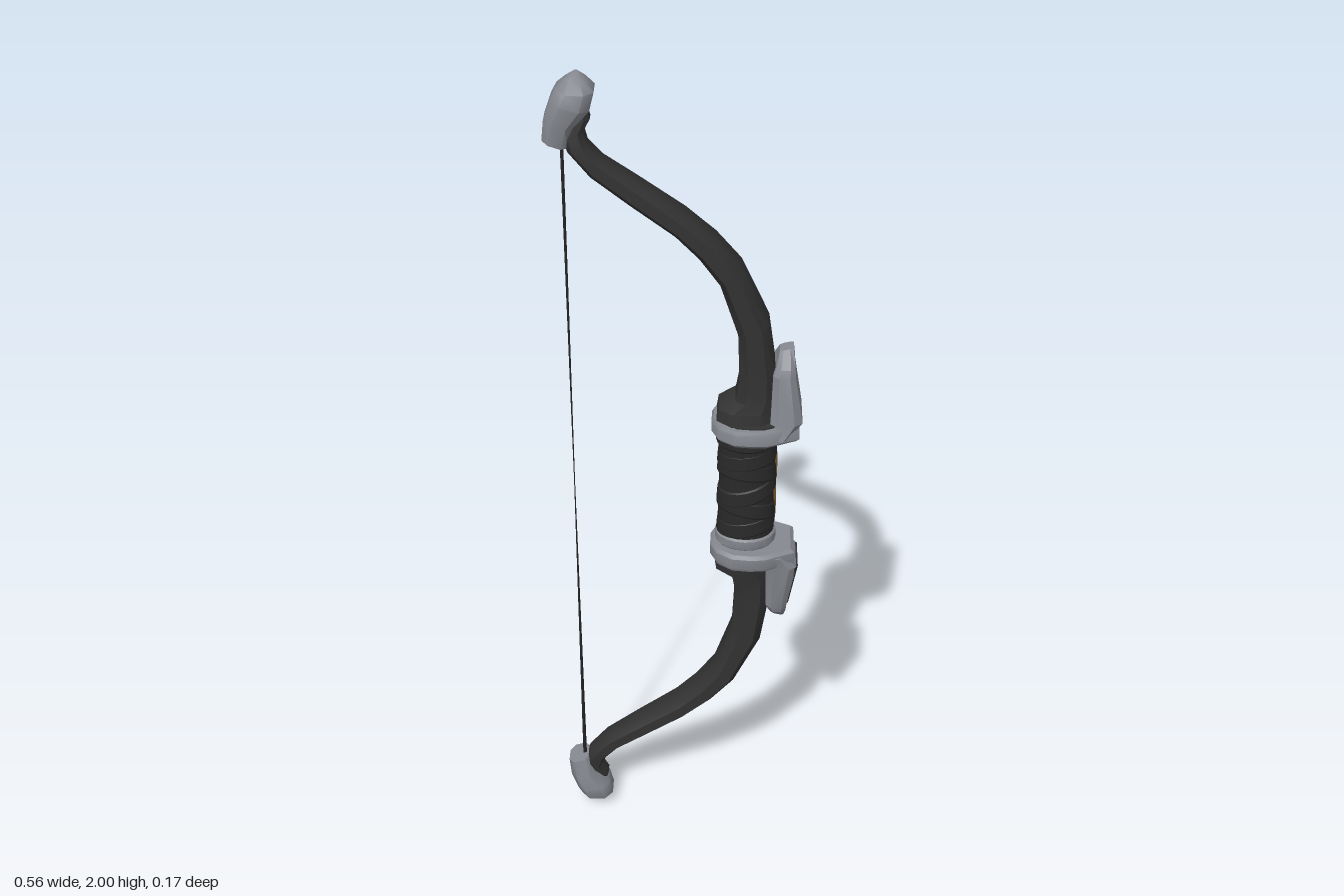
import * as THREE from 'three';
import { mergeVertices, toCreasedNormals } from 'three/addons/utils/BufferGeometryUtils.js';

const mat = (name, color, side = THREE.FrontSide) => {
  const m = new THREE.MeshStandardMaterial({ color, side });
  m.name = name;
  return m;
};

// Closed solid through a list of equal-length rings of [x, y, z]; faces always point outward.
function loft(rings, crease = 0.6) {
  const n = rings[0].length, pos = rings.flat(2), idx = [];
  for (let i = 0; i < rings.length - 1; i++)
    for (let j = 0; j < n; j++) {
      const a = i * n + j, b = i * n + (j + 1) % n;
      idx.push(a, b, b + n, a, b + n, a + n);
    }
  const caps = [rings[0], rings[rings.length - 1]];
  caps.forEach((ring, c) => {
    const centre = pos.length / 3, base = c * (rings.length - 1) * n;
    for (let k = 0; k < 3; k++) pos.push(ring.reduce((s, p) => s + p[k], 0) / n);
    for (let j = 0; j < n; j++) {
      const a = base + j, b = base + (j + 1) % n;
      if (c) idx.push(centre, a, b); else idx.push(centre, b, a);
    }
  });
  const v = (i) => new THREE.Vector3(pos[i * 3], pos[i * 3 + 1] - 1, pos[i * 3 + 2]);
  let volume = 0;
  for (let i = 0; i < idx.length; i += 3) volume += v(idx[i]).dot(v(idx[i + 1]).cross(v(idx[i + 2])));
  if (volume < 0) idx.reverse();
  const g = new THREE.BufferGeometry();
  g.setAttribute('position', new THREE.Float32BufferAttribute(pos, 3));
  g.setIndex(idx);
  return toCreasedNormals(mergeVertices(g), crease);
}

// Bevelled section from (ax, ay) to (bx, by) with half depth d
function section([ax, ay, bx, by, d], k = 0.55) {
  const shape = [[0, -k], [0.25, -1], [0.75, -1], [1, -k], [1, k], [0.75, 1], [0.25, 1], [0, k]];
  return shape.map(([t, z]) => [ax + (bx - ax) * t, ay + (by - ay) * t, z * d]);
}

const ellipse = (y, r, tilt = 0, phase = 0) => Array.from({ length: 20 }, (_, i) => {
  const a = i / 20 * Math.PI * 2;
  return [0.156 + 0.066 * r * Math.cos(a), y + tilt * Math.cos(a + phase), 0.055 * r * Math.sin(a)];
});

// Guard outline seen from above
const halfOutline = [[0.075, 0.02], [0.09, 0.055], [0.125, 0.08], [0.165, 0.084], [0.2, 0.082], [0.235, 0.066], [0.27, 0.05]];
const outline = [...halfOutline, ...halfOutline.map(([x, z]) => [x, -z]).reverse()];
const guardRing = (y, s) => outline.map(([x, z]) => [0.165 + (x - 0.165) * s, y, z * s]);

// Profiles of the upper half: inner x, y, outer x, y, half depth
const limbProfile = [
  [0.085, 1.185, 0.22, 1.185, 0.062], [0.09, 1.222, 0.217, 1.225, 0.058],
  [0.127, 1.242, 0.216, 1.26, 0.052], [0.135, 1.29, 0.214, 1.32, 0.05],
  [0.13, 1.41, 0.197, 1.435, 0.049], [0.09, 1.53, 0.135, 1.57, 0.047],
  [0.045, 1.592, 0.08, 1.635, 0.045], [-0.005, 1.643, 0.015, 1.692, 0.043],
  [-0.1, 1.713, -0.08, 1.76, 0.038], [-0.18, 1.775, -0.155, 1.812, 0.034],
  [-0.225, 1.83, -0.185, 1.845, 0.032], [-0.235, 1.86, -0.192, 1.875, 0.026],
  [-0.225, 1.9, -0.178, 1.9, 0.022], [-0.215, 1.92, -0.185, 1.925, 0.018],
];
const tipProfile = [
  [-0.277, 1.855, -0.225, 1.838, 0.033], [-0.272, 1.9, -0.21, 1.885, 0.042],
  [-0.256, 1.945, -0.178, 1.922, 0.048], [-0.245, 1.966, -0.168, 1.962, 0.045],
  [-0.226, 1.985, -0.185, 1.985, 0.024], [-0.207, 2, -0.201, 2, 0.003],
];
const plateProfile = [
  [0.2, 1.165, 0.245, 1.162, 0.072], [0.205, 1.2, 0.276, 1.2, 0.064],
  [0.208, 1.318, 0.257, 1.318, 0.057], [0.214, 1.335, 0.256, 1.335, 0.05],
  [0.222, 1.365, 0.252, 1.372, 0.016],
];

export function createModel() {
  const model = new THREE.Group();
  model.name = 'bow';
  const dark = mat('limbCharcoal', 0x323232);
  const wrap = mat('gripBlack', 0x292929);
  const steel = mat('steelGrey', 0x85888f);
  const leather = mat('leatherBrown', 0x76552f, THREE.DoubleSide);
  const cord = mat('stringBlack', 0x242424);

  const add = (parent, name, geometry, material) => {
    const mesh = new THREE.Mesh(geometry, material);
    mesh.name = name;
    parent.add(mesh);
    return mesh;
  };

  // Upper and lower halves, mirrored about y = 1
  for (const side of [1, -1]) {
    const half = new THREE.Group();
    half.name = side > 0 ? 'upperHalf' : 'lowerHalf';
    model.add(half);
    const flip = (rings) => rings.map((r) => r.map(([x, y, z]) => [x, 1 + side * (y - 1), z]));
    const part = (name, rings, material, crease) => add(half, name, loft(flip(rings), crease), material);

    part('limb', limbProfile.map((p) => section(p)), dark, 0.7);
    part('limbTip', tipProfile.map((p) => section(p, 0.5)), steel, 0.9);
    part('guardRing', [guardRing(1.15, 0.92), guardRing(1.158, 1), guardRing(1.184, 1), guardRing(1.193, 0.95)], steel);
    part('guardInset', [guardRing(1.185, 0.84), guardRing(1.197, 0.83)], dark);
    part('guardPlate', plateProfile.map((p) => section(p, 0.78)), steel, 0.4);
    part('collar', [ellipse(1.12, 1.0), ellipse(1.125, 1.07), ellipse(1.146, 1.07), ellipse(1.152, 1.0)],
      side > 0 ? wrap : steel);

    // Dark panel set in the lower guard plate
    if (side < 0) part('platePanel', [
      [0.255, 1.2, 0.28, 1.2, 0.053], [0.24, 1.315, 0.261, 1.315, 0.044],
    ].map((p) => section(p, 0.85)), dark);

    // String tapering toward the middle
    const string = add(half, 'bowString', new THREE.CylinderGeometry(side > 0 ? 0.004 : 0.0012, side > 0 ? 0.0012 : 0.005, 0.85, 6), cord);
    string.position.set(-0.238, 1 + side * 0.425, 0);
  }

  // Grip core with slanted wrapping bands
  const grip = new THREE.Group();
  grip.name = 'grip';
  model.add(grip);
  add(grip, 'gripCore', loft([ellipse(0.87, 1), ellipse(0.94, 0.97), ellipse(1.0, 0.94), ellipse(1.06, 0.97), ellipse(1.13, 1)]), wrap);
  [[0.905, 0.012, 0], [0.952, -0.018, 0.6], [1.0, 0.02, 0.3], [1.05, -0.016, 1], [1.095, 0.012, 0.4]].forEach(([y, tilt, phase]) => {
    add(grip, 'gripWrap', loft([
      ellipse(y - 0.022, 0.98, tilt, phase), ellipse(y - 0.016, 1.03, tilt, phase),
      ellipse(y + 0.016, 1.0, tilt, phase), ellipse(y + 0.02, 0.95, tilt, phase),
    ], 0.4), wrap);
  });

  // Rounded leather patches on the back outer corner of the grip
  for (const [y, height, start, length] of [[0.955, 0.12, 1.6, 1.25], [1.055, 0.085, 1.55, 1.2]]) {
    const g = new THREE.CylinderGeometry(1.05, 1.05, height, 14, 1, true, start, length);
    const p = g.attributes.position;
    for (let i = 0; i < p.count; i++) {
      const u = (i % 15) / 7 - 1;
      p.setY(i, p.getY(i) * Math.sqrt(Math.max(0.02, 1 - u ** 4)) + 0.01 * u);
    }
    g.scale(0.066, 1, 0.055);
    g.computeVertexNormals();
    add(grip, 'leatherPatch', g, leather).position.set(0.156, y, 0);
  }
  return model;
}
